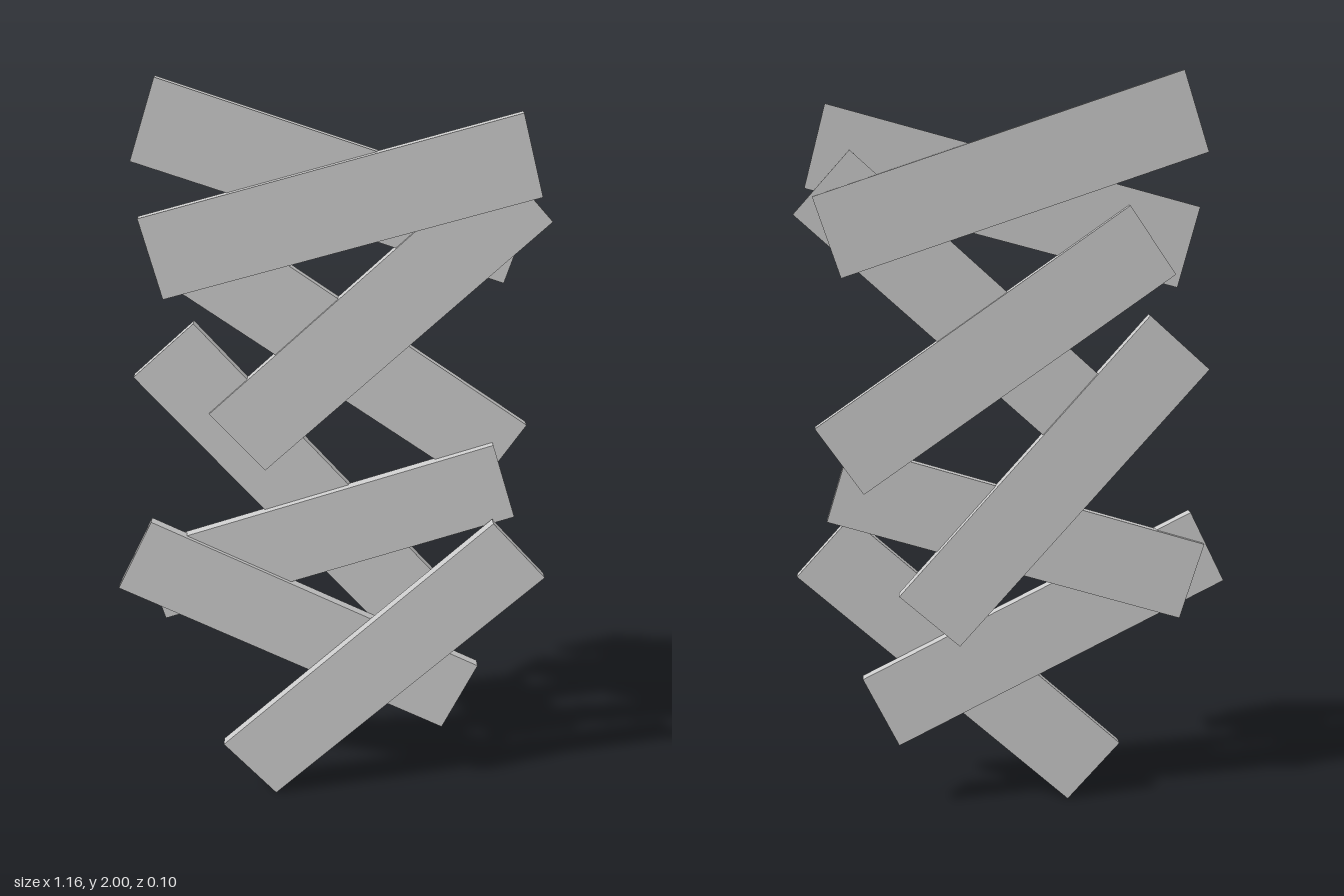
import * as THREE from 'three';

// Eight identical flat planks, loosely stacked in a zigzag
const LENGTH = 1.0, WIDTH = 0.217, THICKNESS = 0.033;

// name, centre x, centre y, centre z, tilt in degrees
const PLANKS = [
  ['topPlank', 0.003, 1.74, -0.035, -18.4],
  ['upperFrontPlank', 0.02, 1.68, -0.013, 15.1],
  ['upperCrossPlank', 0.118, 1.385, -0.026, 42.2],
  ['upperBackPlank', 0.047, 1.286, -0.035, -34.7],
  ['middleBackPlank', -0.107, 0.93, -0.035, -48.1],
  ['middlePlank', -0.015, 0.79, -0.012, 17.3],
  ['lowerPlank', -0.088, 0.513, 0.002, -26.3],
  ['bottomFrontPlank', 0.136, 0.418, 0.034, 42.3],
];

export function createModel() {
  const model = new THREE.Group();
  model.name = 'plankStack';
  const material = new THREE.MeshStandardMaterial({ color: 0xcccccc, flatShading: true });
  const geometry = new THREE.BoxGeometry(LENGTH, WIDTH, THICKNESS);
  for (const [name, x, y, z, tilt] of PLANKS) {
    const plank = new THREE.Mesh(geometry, material);
    plank.name = name;
    plank.position.set(x, y, z);
    plank.rotation.z = THREE.MathUtils.degToRad(tilt);
    model.add(plank);
  }
  return model;
}
